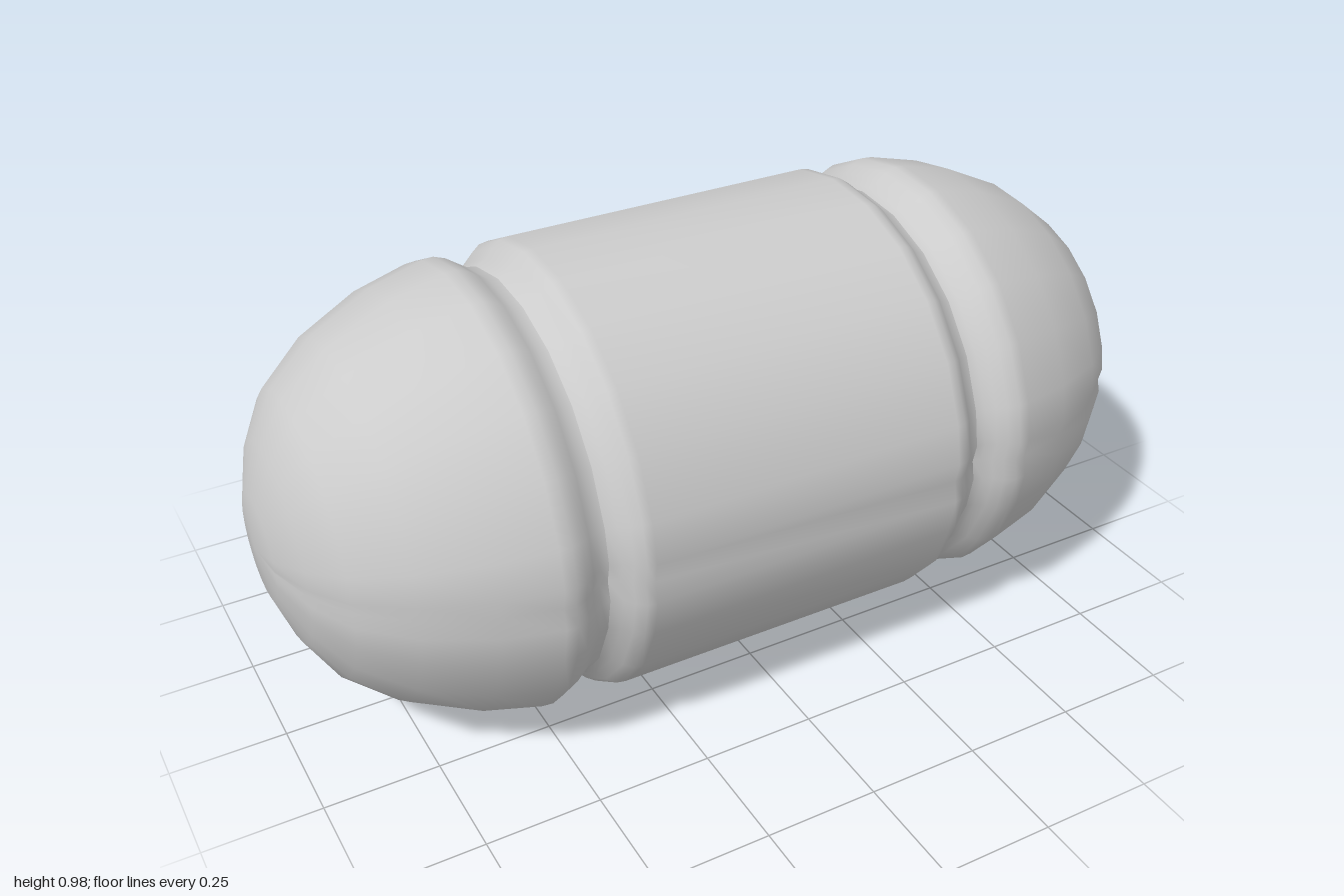
import * as THREE from 'three';
import { mergeVertices } from 'three/addons/utils/BufferGeometryUtils.js';

const SIDES = 23, CENTRE_Y = 0.4945, GROOVE_DEPTH = 0.011;

// Angles around the x axis, starting at the front seam, with an extra lip on each side of it
const STEP = (Math.PI * 2) / SIDES, LIP = 0.095;
const angles = [0, LIP];
for (let i = 1; i < SIDES; i++) angles.push(i * STEP);
angles.push(Math.PI * 2 - LIP, Math.PI * 2);

// Smooth shell swept around the x axis from [x, radius] points of increasing x
function shell(name, profile, material) {
  const positions = [], index = [];
  const cols = angles.length;
  profile.forEach(([x, radius], i) => {
    angles.forEach((a, j) => {
      const onSeam = j === 0 || j === cols - 1;
      const r = onSeam ? Math.max(0, radius - GROOVE_DEPTH) : radius;
      const turn = j === cols - 1 ? 0 : a;
      positions.push(x, CENTRE_Y + r * Math.sin(turn), r * Math.cos(turn));
      if (i < profile.length - 1 && j < cols - 1) {
        const p = i * cols + j, q = p + cols;
        if (radius > 0) index.push(p, q, p + 1);
        if (profile[i + 1][1] > 0) index.push(q, q + 1, p + 1);
      }
    });
  });
  let geometry = new THREE.BufferGeometry();
  geometry.setAttribute('position', new THREE.Float32BufferAttribute(positions, 3));
  geometry.setIndex(index);
  geometry = mergeVertices(geometry, 1e-5);
  geometry.computeVertexNormals();
  const mesh = new THREE.Mesh(geometry, material);
  mesh.name = name;
  return mesh;
}

// Same profile on the other side, still running toward +x
const mirror = (profile) => profile.map(([x, r]) => [-x, r]).reverse();

export function createModel() {
  const group = new THREE.Group();
  group.name = 'capsule';
  const material = new THREE.MeshStandardMaterial({ color: 0xcccccc });

  // Straight middle with rounded shoulders dropping into the grooves
  const shoulder = [[0.355, 0.491], [0.375, 0.488], [0.395, 0.474], [0.412, 0.455], [0.435, 0.445]];
  group.add(shell('middleBody', [...mirror(shoulder), ...shoulder], material));

  // Domed ends, flaring out of the groove and closing at the pole
  const cap = [
    [0.435, 0.445], [0.455, 0.448], [0.475, 0.461], [0.495, 0.475], [0.52, 0.484], [0.545, 0.482],
    [0.665, 0.451], [0.8, 0.386], [0.9, 0.303], [0.955, 0.212], [0.99, 0.11], [1, 0],
  ];
  group.add(shell('leftCap', cap, material));
  group.add(shell('rightCap', mirror(cap), material));
  return group;
}
